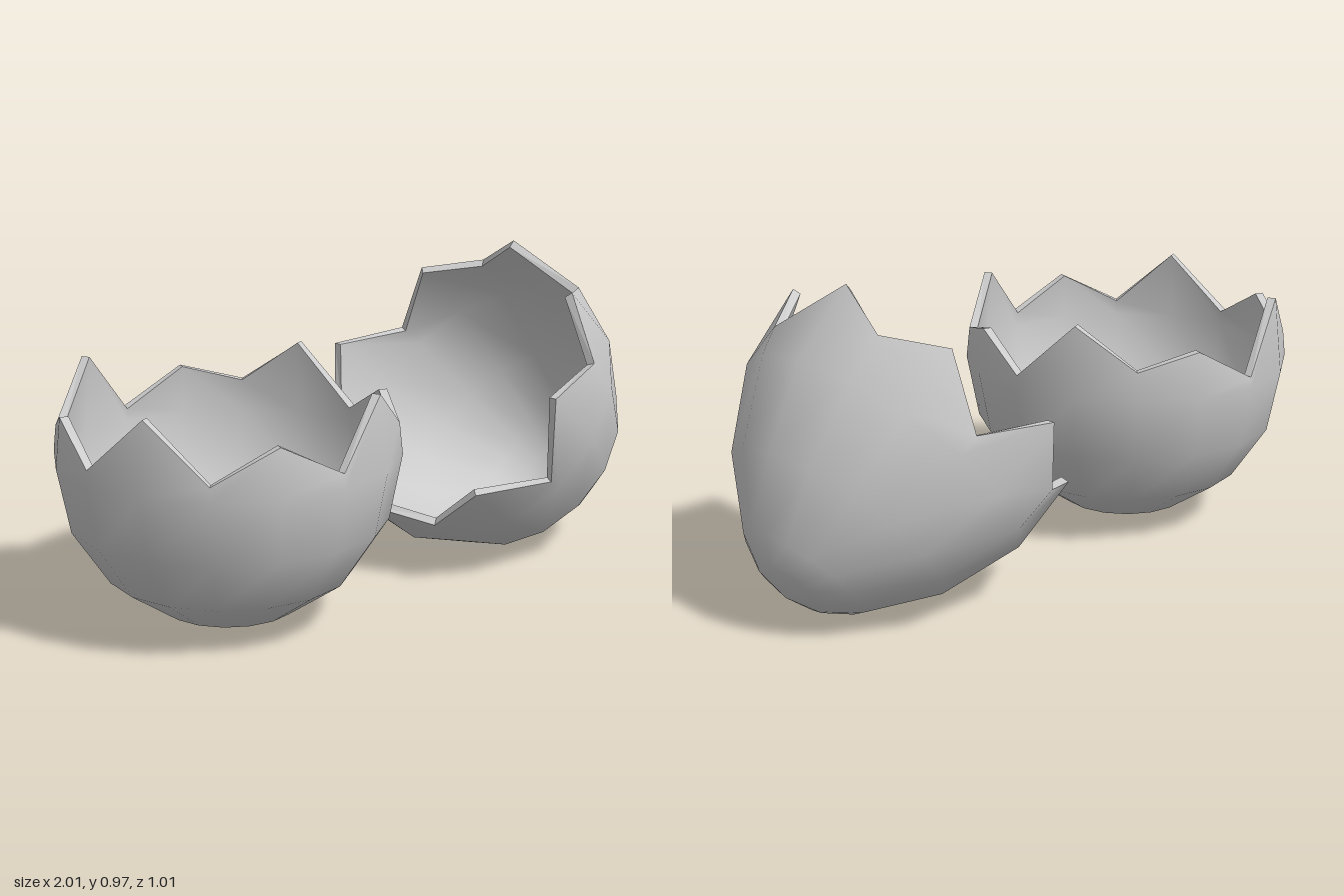
import * as THREE from 'three';

const SIDES = 16;
const WALL = 0.026;

// Ring of points around y; height is one value or one per side
function ring(radius, height) {
  return Array.from({ length: SIDES }, (_, j) => {
    const a = (j / SIDES) * Math.PI * 2;
    const y = Array.isArray(height) ? height[j] : height;
    const r = typeof radius === 'function' ? radius(y) : radius;
    return [r * Math.cos(a), y, r * Math.sin(a)];
  });
}

// Smooth skin joining a pole point and a stack of rings
function skin(poleY, rings, inward) {
  const pos = [0, poleY, 0, ...rings.flat(2)];
  const index = [];
  const tri = (a, b, c) => (inward ? index.push(a, c, b) : index.push(a, b, c));
  const at = (i, j) => 1 + i * SIDES + (j % SIDES);
  for (let j = 0; j < SIDES; j++) {
    tri(0, at(0, j), at(0, j + 1));
    for (let i = 0; i < rings.length - 1; i++) {
      tri(at(i, j), at(i + 1, j), at(i, j + 1));
      tri(at(i + 1, j), at(i + 1, j + 1), at(i, j + 1));
    }
  }
  const g = new THREE.BufferGeometry();
  g.setAttribute('position', new THREE.Float32BufferAttribute(pos, 3));
  g.setIndex(index);
  g.computeVertexNormals();
  return g;
}

// Flat-faced broken edge between outer and inner rims
function brokenEdge(outer, inner) {
  const pos = [];
  for (let j = 0; j < SIDES; j++) {
    const k = (j + 1) % SIDES;
    pos.push(...outer[j], ...inner[j], ...outer[k]);
    pos.push(...inner[j], ...inner[k], ...outer[k]);
  }
  const g = new THREE.BufferGeometry();
  g.setAttribute('position', new THREE.Float32BufferAttribute(pos, 3));
  g.computeVertexNormals();
  return g;
}

// Half eggshell: profile of [radius, height] rings from the pole, then a jagged rim
function halfShell(name, profile, rimRadius, rimHeights, material) {
  const depth = profile[profile.length - 1][1];
  const outerRim = ring(rimRadius, rimHeights);
  const innerRim = ring((y) => rimRadius(y) - WALL, rimHeights);
  const outer = profile.map(([r, y]) => ring(r, y));
  const inner = profile.map(([r, y]) => ring(r * (1 - WALL / 0.5), y + WALL * (1 - y / depth)));
  const group = new THREE.Group();
  group.name = name;
  const parts = {
    outerSurface: skin(0, [...outer, outerRim], false),
    innerSurface: skin(WALL, [...inner, innerRim], true),
    brokenEdge: brokenEdge(outerRim, innerRim),
  };
  for (const [part, geometry] of Object.entries(parts)) {
    const mesh = new THREE.Mesh(geometry, material);
    mesh.name = part;
    group.add(mesh);
  }
  return group;
}

export function createModel() {
  const model = new THREE.Group();
  model.name = 'brokenEggshell';
  const shell = new THREE.MeshStandardMaterial({ color: 0xcccccc });
  shell.name = 'shellGrey';

  // Upright round half
  const R = 0.505;
  const bowlProfile = [1, 2, 3, 4].map((i) => {
    const a = (i * Math.PI) / 8;
    return [R * Math.sin(a), R * (1 - Math.cos(a))];
  });
  const bowlRim = [0.55, 0.65, 0.6, 0.73, 0.55, 0.65, 0.55, 0.72,
    0.55, 0.655, 0.58, 0.74, 0.54, 0.65, 0.6, 0.73];
  const bowl = halfShell('bottomHalf', bowlProfile, (y) => R - 0.1 * (y - R), bowlRim, shell);
  bowl.position.set(-0.495, 0.004, 0);
  model.add(bowl);

  // Pointed half lying tipped on its side
  const capProfile = [[0.115, 0.03], [0.2, 0.085], [0.36, 0.26], [0.47, 0.5]];
  const capRim = [0.752, 0.583, 0.765, 0.642, 0.757, 0.56, 0.71, 0.638,
    0.75, 0.562, 0.747, 0.642, 0.757, 0.566, 0.72, 0.646];
  const cap = halfShell('topHalf', capProfile, () => 0.488, capRim, shell);
  cap.position.set(0.94, 0.115, 0);
  cap.rotation.z = 0.863;
  model.add(cap);

  return model;
}
